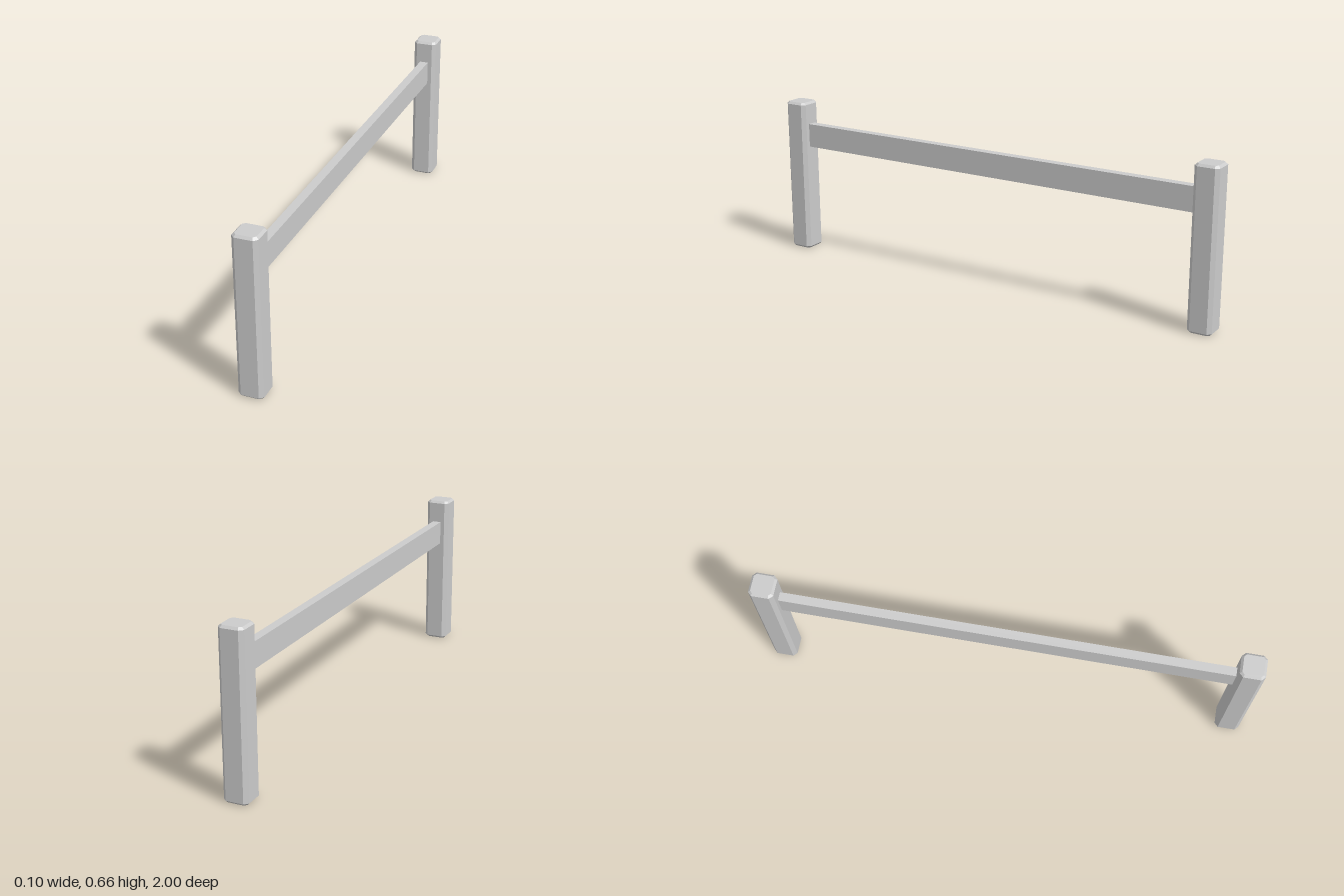
import * as THREE from 'three';

const POST = { width: 0.1, height: 0.655, chamfer: 0.015, bevel: 0.009 };

// Upright square post with chamfered corners and bevelled ends, standing on y = 0
function postGeometry({ width, height, chamfer, bevel }) {
  const h = width / 2;
  const i = h - chamfer;
  const outline = new THREE.Shape([
    [h, -i], [h, i], [i, h], [-i, h], [-h, i], [-h, -i], [-i, -h], [i, -h],
  ].map(([x, y]) => new THREE.Vector2(x, y)));
  return new THREE.ExtrudeGeometry(outline, {
    depth: height - 2 * bevel,
    bevelThickness: bevel,
    bevelSize: bevel,
    bevelOffset: -bevel,
    bevelSegments: 1,
  }).translate(0, 0, bevel).rotateX(-Math.PI / 2);
}

export function createModel() {
  const group = new THREE.Group();
  group.name = 'railFence';
  const material = new THREE.MeshStandardMaterial({ color: 0xcccccc, flatShading: true });

  // Two end posts
  const geometry = postGeometry(POST);
  for (const [name, side] of [['frontPost', 1], ['backPost', -1]]) {
    const post = new THREE.Mesh(geometry, material);
    post.name = name;
    post.position.z = side * (1 - POST.width / 2);
    group.add(post);
  }

  // Flat rail between the posts
  const rail = new THREE.Mesh(new THREE.BoxGeometry(0.036, 0.1, 1.8), material);
  rail.name = 'rail';
  rail.position.y = 0.51;
  group.add(rail);

  return group;
}
